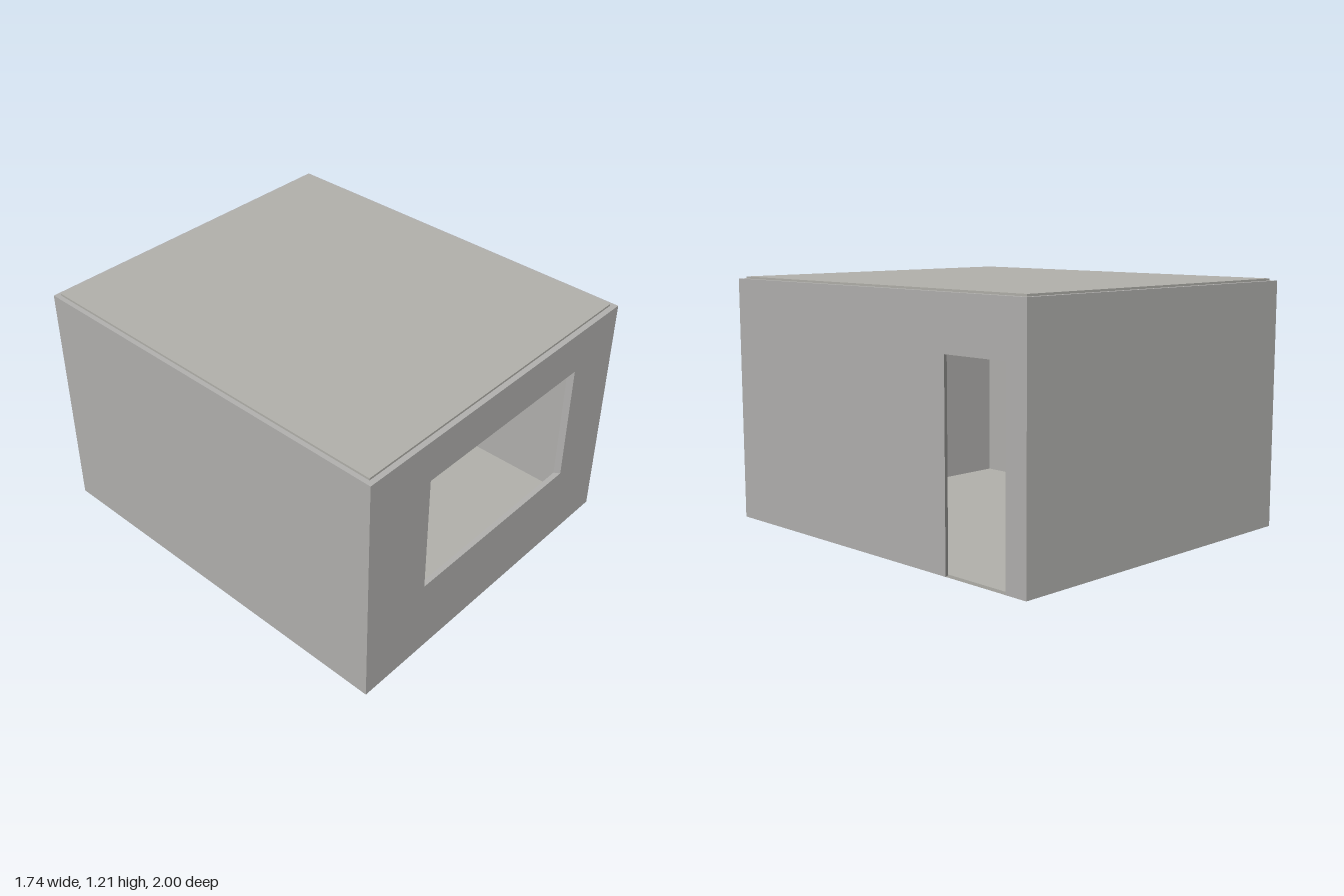
import * as THREE from 'three';

// Plan corners as [x, z]: front left, front right, back right, back left (seen from the front)
const OUTER = [[-0.843, 0.995], [0.868, 0.957], [0.828, -1.0], [-0.87, -0.972]];
const INNER = [[-0.82, 0.968], [0.841, 0.93], [0.803, -0.975], [-0.846, -0.946]];
const BASE = 0.011, TOP = 1.204, HEIGHT = 1.214, SLAB = 0.014;

const lerp = THREE.MathUtils.lerp;
const polygon = (pts) => new THREE.Shape(pts.map(([x, y]) => new THREE.Vector2(x, y)));
const rect = (a, b, c, d) => [[a, c], [b, c], [b, d], [a, d]];

// Mitred wall: the shape's x runs 0..1 along the side, the depth runs from inner to outer face
function wallGeometry(shape, i) {
  const j = (i + 1) % 4;
  const geo = new THREE.ExtrudeGeometry(shape, { depth: 1, bevelEnabled: false });
  const pos = geo.attributes.position;
  for (let k = 0; k < pos.count; k++) {
    const u = pos.getX(k), t = pos.getZ(k);
    const [x, z] = [0, 1].map((c) =>
      lerp(lerp(INNER[i][c], INNER[j][c], u), lerp(OUTER[i][c], OUTER[j][c], u), t));
    pos.setXYZ(k, x, pos.getY(k), z);
  }
  geo.computeVertexNormals();
  return geo;
}

export function createModel() {
  const group = new THREE.Group();
  const wallMat = new THREE.MeshStandardMaterial({ color: 0xb3b2b0 });
  wallMat.name = 'wall grey';
  const slabMat = new THREE.MeshStandardMaterial({ color: 0xb3b2ac });
  slabMat.name = 'slab grey';

  const add = (name, geo, mat) => {
    const mesh = new THREE.Mesh(geo, mat);
    mesh.name = name;
    group.add(mesh);
    return mesh;
  };

  // Front wall with a window opening
  const front = polygon(rect(0, 1, BASE, TOP));
  front.holes.push(new THREE.Path(polygon(rect(0.218, 0.82, 0.393, 0.996)).getPoints()));

  // Right-hand wall with a doorway reaching its lower edge
  const [d0, d1, doorTop] = [0.76, 0.941, 0.95];
  const door = polygon([[0, BASE], [d0, BASE], [d0, doorTop], [d1, doorTop],
    [d1, BASE], [1, BASE], [1, TOP], [0, TOP]]);

  const plain = polygon(rect(0, 1, BASE, TOP));
  const walls = [['frontWall', front], ['doorWall', door], ['backWall', plain], ['sideWall', plain]];
  walls.forEach(([name, shape], i) => add(name, wallGeometry(shape, i), wallMat));

  // Floor and ceiling slabs fit inside the walls and stand slightly proud of them
  const slabGeo = new THREE.ExtrudeGeometry(polygon(INNER.map(([x, z]) => [x, -z])),
    { depth: SLAB, bevelEnabled: false });
  slabGeo.rotateX(-Math.PI / 2);
  add('floor', slabGeo, slabMat);
  add('ceiling', slabGeo, slabMat).position.y = HEIGHT - SLAB;

  return group;
}
